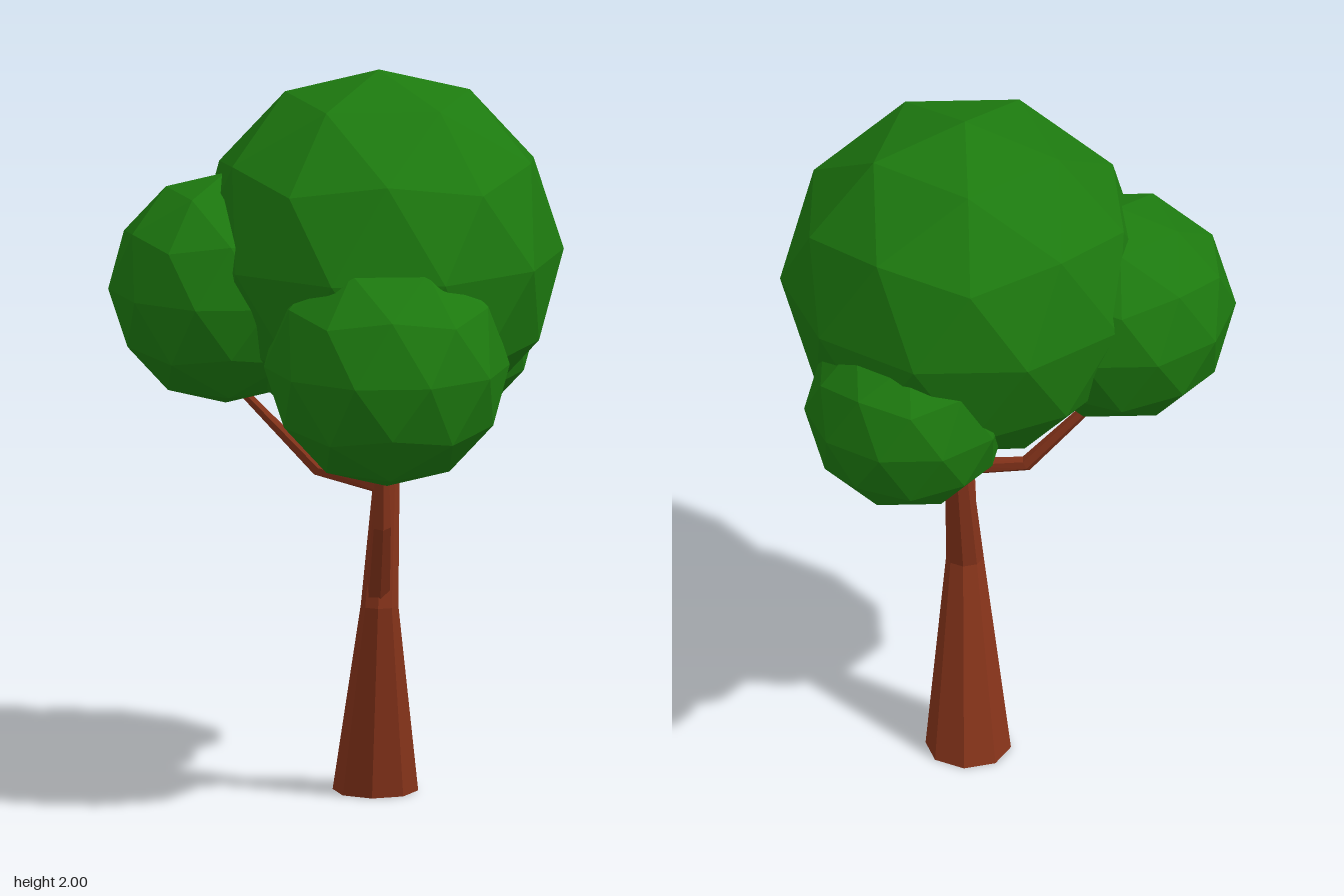
import * as THREE from 'three';

const bark = new THREE.MeshStandardMaterial({ color: 0x85331a, flatShading: true });
const leaf = new THREE.MeshStandardMaterial({ color: 0x1d7a0f, flatShading: true });
const TURN = THREE.MathUtils.degToRad(-27.7);
const UP = new THREE.Vector3(0, 1, 0);

// Tapered, faceted limb through stations [x, y, z, radius]; level keeps its rings horizontal
function limb(name, stations, sides, level = false) {
  const centers = stations.map(([x, y, z]) => new THREE.Vector3(x, y, z));
  const last = centers.length - 1;
  const pos = [];
  const index = [];
  centers.forEach((c, i) => {
    const dir = centers[Math.min(i + 1, last)].clone().sub(c).normalize();
    if (i === last) dir.set(0, 0, 0);
    if (i > 0) dir.add(c.clone().sub(centers[i - 1]).normalize());
    const tilt = new THREE.Quaternion().setFromUnitVectors(UP, level ? UP : dir.normalize());
    for (let j = 0; j < sides; j++) {
      const a = (j / sides) * Math.PI * 2 + TURN;
      const r = stations[i][3];
      const p = new THREE.Vector3(Math.cos(a) * r, 0, Math.sin(a) * r);
      pos.push(...p.applyQuaternion(tilt).add(c).toArray());
    }
  });
  for (let i = 0; i < last; i++) {
    for (let j = 0; j < sides; j++) {
      const a = i * sides + j;
      const b = i * sides + ((j + 1) % sides);
      index.push(a, a + sides, b, b, a + sides, b + sides);
    }
  }
  // End caps
  const top = last * sides;
  for (let j = 1; j < sides - 1; j++) {
    index.push(0, j, j + 1, top, top + j + 1, top + j);
  }
  const geo = new THREE.BufferGeometry();
  geo.setAttribute('position', new THREE.Float32BufferAttribute(pos, 3));
  geo.setIndex(index);
  const flat = geo.toNonIndexed();
  flat.computeVertexNormals();
  const mesh = new THREE.Mesh(flat, bark);
  mesh.name = name;
  return mesh;
}

// Icosphere of 80 faces with one corner pointing straight up
function foliage(name, x, y, z, radius) {
  const geo = new THREE.IcosahedronGeometry(radius, 1);
  geo.rotateZ(Math.atan(2 / (1 + Math.sqrt(5))));
  geo.rotateY(TURN);
  const mesh = new THREE.Mesh(geo, leaf);
  mesh.position.set(x, y, z);
  mesh.name = name;
  return mesh;
}

export function createModel() {
  const tree = new THREE.Group();
  tree.name = 'tree';

  // Leaning trunk with a bend where the front branch leaves it
  tree.add(limb('trunk', [
    [0.11, 0, -0.115, 0.116],
    [0.095, 0.535, 0.002, 0.051],
    [0.14, 1.08, -0.06, 0.026],
  ], 8, true));

  // Branches
  tree.add(limb('frontBranch', [
    [0.09, 0.56, 0.005, 0.034],
    [0.065, 0.79, 0.158, 0.027],
    [0.06, 1.0, 0.195, 0.016],
  ], 6));
  tree.add(limb('rightBranch', [
    [0.12, 0.855, -0.035, 0.025],
    [-0.05, 0.895, -0.115, 0.021],
    [-0.24, 1.1, -0.145, 0.014],
  ], 6));

  // Crown
  tree.add(
    foliage('mainCrown', 0.11, 1.5, -0.07, 0.5),
    foliage('frontCrown', 0.06, 1.25, 0.245, 0.333),
    foliage('rightCrown', -0.297, 1.4, -0.15, 0.318),
    foliage('backLeftCrown', 0.315, 1.25, -0.3, 0.28),
  );
  return tree;
}
